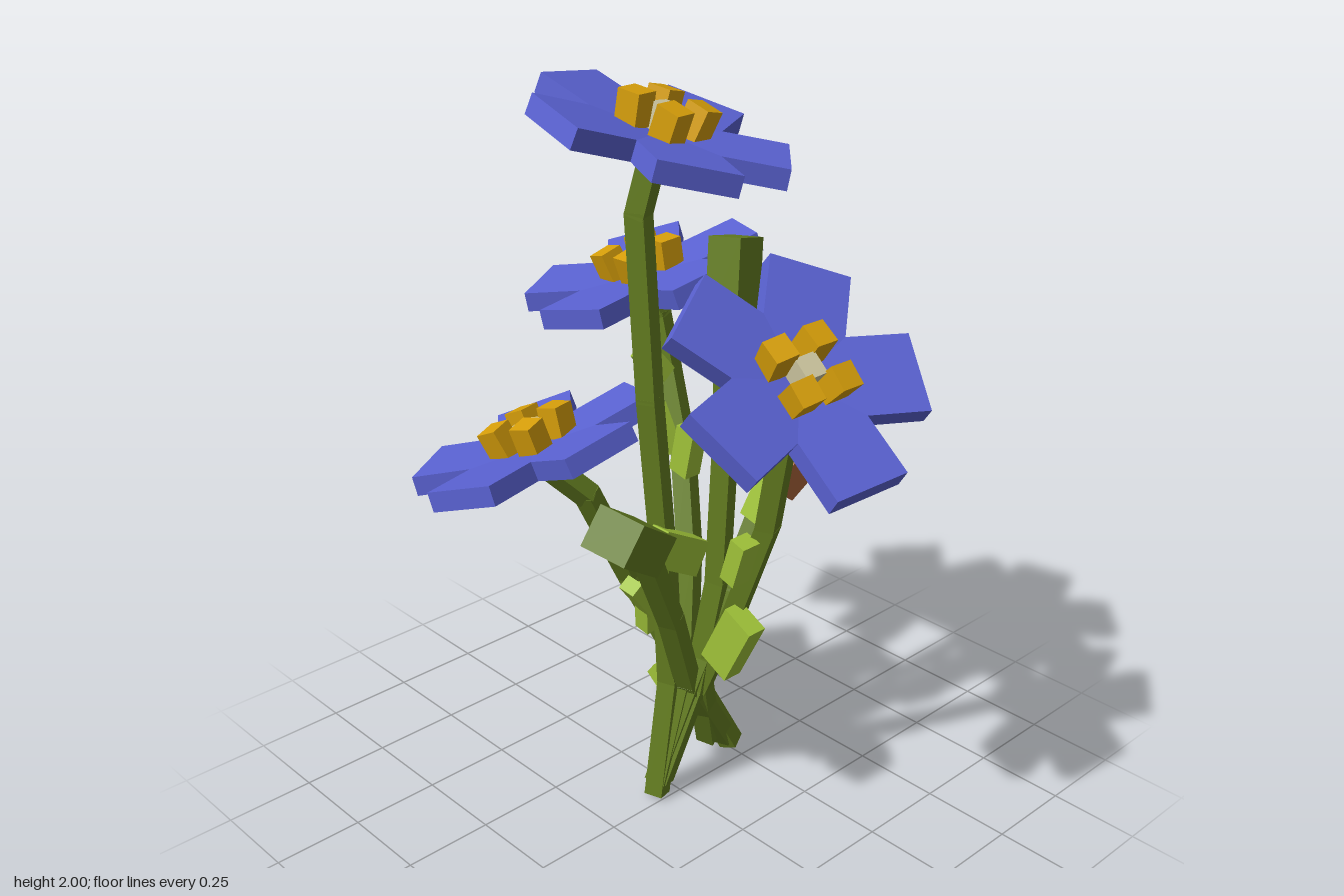
import * as THREE from 'three';

const mat = (name, color) => {
  const m = new THREE.MeshStandardMaterial({ color });
  m.name = name;
  return m;
};
const V = (a) => new THREE.Vector3(...a);
const UP = new THREE.Vector3(0, 1, 0);

export function createModel() {
  const model = new THREE.Group();
  model.name = 'flowerBouquet';
  const blue = mat('petalBlue', 0x5a62d2);
  const green = mat('stemGreen', 0x637c20);
  const lime = mat('leafLime', 0x9fc239);
  const yellow = mat('stamenYellow', 0xd69e0a);
  const cream = mat('pistilCream', 0xcec7a0);
  const brown = mat('calyxBrown', 0xb0683c);

  const box = (parent, name, material, size, pos) => {
    const m = new THREE.Mesh(new THREE.BoxGeometry(...size), material);
    m.name = name;
    m.position.set(...pos);
    parent.add(m);
    return m;
  };
  // Turns an object's y axis along a direction, after a spin about it
  const aim = (obj, dir, spin = 0) => {
    obj.quaternion.setFromUnitVectors(UP, V(dir).normalize());
    obj.rotateY(spin);
    return obj;
  };
  // Group placed at a point with its y axis along a direction
  const frame = (name, pos, dir, spin) => {
    const g = new THREE.Group();
    g.name = name;
    g.position.set(...pos);
    model.add(aim(g, dir, spin));
    return g;
  };

  // Stems: chains of square bars
  const stem = (name, pts) => {
    const g = new THREE.Group();
    g.name = name;
    for (let i = 1; i < pts.length; i++) {
      const a = V(pts[i - 1]), b = V(pts[i]);
      const d = b.clone().sub(a);
      const mid = a.add(b).multiplyScalar(0.5);
      const bar = box(g, 'stemSegment', green, [0.053, d.length() + 0.015, 0.053], mid.toArray());
      aim(bar, d.toArray(), 0.35);
    }
    model.add(g);
  };
  stem('topFlowerStem', [[-0.03, 0.015, 0.06], [-0.04, 0.35, 0], [-0.05, 0.7, 0.01], [-0.06, 1.2, 0.05], [-0.085, 1.68, 0.06], [-0.055, 1.82, 0.04]]);
  stem('tallBudStem', [[-0.03, 0.05, 0.04], [0, 0.32, -0.06], [0.03, 0.65, -0.11], [0.03, 1.0, -0.13], [0.03, 1.42, -0.14]]);
  stem('frontBudStem', [[-0.06, 0.05, -0.23], [0, 0.35, -0.03], [0.06, 0.62, 0.09], [0.125, 0.9, 0.24]]);
  stem('blueBudStem', [[-0.04, 0.05, 0.05], [0, 0.35, -0.05], [0.04, 0.62, -0.15], [0.06, 0.92, -0.29]]);
  stem('backFlowerStem', [[-0.03, 0.05, 0.05], [-0.02, 0.38, -0.04], [-0.09, 0.7, -0.12], [-0.2, 0.95, -0.2], [-0.3, 1.14, -0.24], [-0.34, 1.28, -0.24], [-0.37, 1.35, -0.22]]);
  stem('frontFlowerStem', [[-0.05, 0.03, -0.25], [-0.08, 0.2, -0.17], [-0.22, 0.6, -0.02], [-0.22, 0.9, 0.13], [-0.28, 1.02, 0.24]]);
  stem('sideFlowerStem', [[-0.07, 0.07, -0.18], [0, 0.32, -0.08], [0.11, 0.6, -0.1], [0.21, 0.88, -0.11], [0.29, 1.24, -0.09], [0.385, 1.34, 0]]);

  // Open flowers: five upturned petals, four stamens and a pistil
  const flower = (name, pos, normal, startDeg, stamenSpin) => {
    const g = frame(name, pos, normal, 0);
    for (let i = 0; i < 5; i++) {
      const arm = new THREE.Group();
      arm.name = 'petalArm';
      arm.rotation.set(0, THREE.MathUtils.degToRad(startDeg + i * 72), 0.1);
      box(arm, 'petal', blue, [0.31, 0.053, 0.21], [0.158, 0, 0]);
      g.add(arm);
    }
    const heart = new THREE.Group();
    heart.name = 'flowerHeart';
    heart.rotation.y = stamenSpin;
    g.add(heart);
    box(heart, 'pistil', cream, [0.06, 0.08, 0.06], [0, 0.055, 0]);
    for (const x of [-1, 1]) for (const z of [-1, 1]) {
      const s = box(heart, 'stamen', yellow, [0.064, 0.085, 0.064], [x * 0.055, 0.07, z * 0.055]);
      s.rotation.set(z * 0.1, 0, -x * 0.1);
    }
  };
  flower('topFlower', [-0.052, 1.853, 0.024], [0.23, 1, -0.18], 45, 0.17);
  flower('backFlower', [-0.37, 1.37, -0.22], [-0.2, 1, 0.19], 64, -0.12);
  flower('frontFlower', [-0.273, 1.035, 0.247], [-0.32, 1, 0.18], 69, 0.22);
  flower('sideFlower', [0.39, 1.36, 0.005], [0.65, 0.76, 0.14], -6, -0.08);

  // Closed green buds
  const tall = frame('tallGreenBud', [0.02, 1.485, -0.165], [-0.03, 0.2, -0.04], 0.2);
  box(tall, 'greenBud', green, [0.095, 0.22, 0.105], [0, 0, 0]);
  const low = frame('frontGreenBud', [0.16, 0.975, 0.32], [0.07, 0.12, 0.17], 0.15);
  box(low, 'greenBud', green, [0.125, 0.22, 0.11], [0, 0, 0]);

  // Half-open blue bud: a ring of petals on a brown calyx
  const bud = frame('blueBud', [0.075, 0.95, -0.32], [0.08, 0.2, -0.16], 0);
  box(bud, 'calyx', brown, [0.115, 0.13, 0.115], [0, -0.005, 0]);
  for (let i = 0; i < 5; i++) {
    const side = new THREE.Group();
    side.name = 'budPetalArm';
    side.rotation.y = 0.3 + i * Math.PI * 0.4;
    box(side, 'budPetal', blue, [0.05, 0.22, 0.095], [0.083, 0.15, 0]).rotation.z = 0.04;
    bud.add(side);
  }
  box(bud, 'budFloor', blue, [0.12, 0.05, 0.12], [0, 0.085, 0]);

  // Leaves: position, direction, size
  const leaves = [
    [[-0.18, 0.23, -0.12], [-0.09, 0.07, 0], [0.05, 0.11, 0.05]],
    [[-0.13, 0.55, 0], [0.03, 0.16, 0.03], [0.05, 0.16, 0.05]],
    [[0.13, 0.52, -0.07], [0.1, 0.2, 0], [0.1, 0.2, 0.06]],
    [[0.17, 0.79, -0.05], [0.03, 0.1, 0], [0.05, 0.13, 0.06]],
    [[0.09, 0.89, -0.22], [0.03, 0.14, -0.05], [0.06, 0.14, 0.05]],
    [[-0.01, 0.77, 0.01], [0, 0.09, 0.16], [0.06, 0.17, 0.1]],
    [[0.03, 0.71, 0.17], [0.02, 0.1, 0.08], [0.05, 0.14, 0.04]],
    [[0.07, 1.1, 0.04], [0.03, 0.14, 0], [0.06, 0.13, 0.05]],
    [[-0.3, 1.17, -0.18], [-0.02, 0.08, 0.06], [0.06, 0.1, 0.05]],
    [[-0.23, 1.0, -0.15], [-0.08, 0.14, 0], [0.05, 0.14, 0.05]],
  ];
  leaves.forEach(([pos, dir, size]) => aim(box(model, 'leaf', lime, size, pos), dir));

  return model;
}
